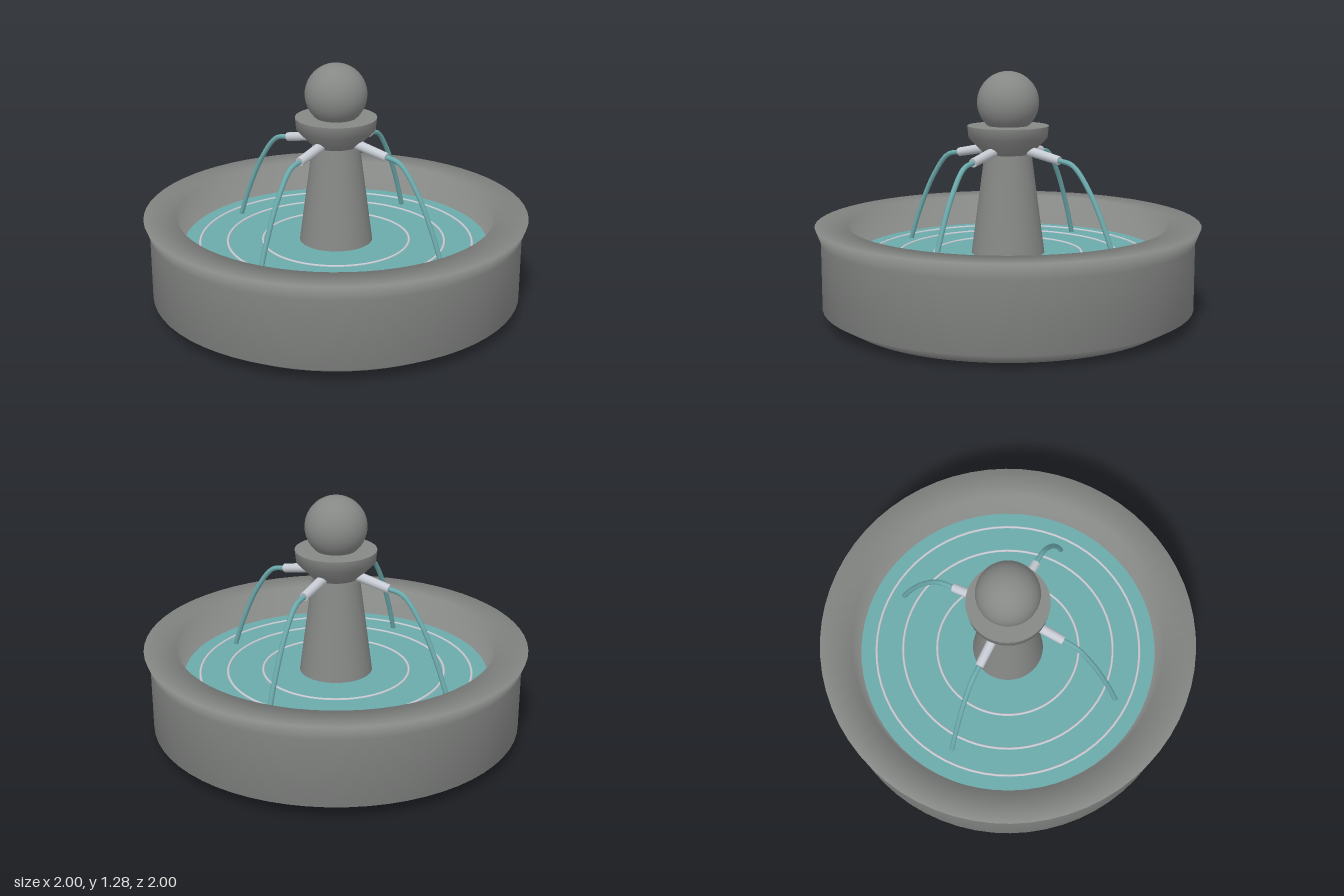
import * as THREE from 'three';

const stone = new THREE.MeshStandardMaterial({ name: 'stone', color: 0x868886 });
const water = new THREE.MeshStandardMaterial({ name: 'water', color: 0x6caaac });
const metal = new THREE.MeshStandardMaterial({ name: 'metal', color: 0xc6cad2 });

const WATER_Y = 0.34;

function add(parent, name, geometry, material) {
  const mesh = new THREE.Mesh(geometry, material);
  mesh.name = name;
  parent.add(mesh);
  return mesh;
}

function lathe(points, segments) {
  return new THREE.LatheGeometry(points.map(([r, y]) => new THREE.Vector2(r, y)), segments);
}

export function createModel() {
  const fountain = new THREE.Group();
  fountain.name = 'fountain';

  // Basin: outer wall, flared rim, inner wall and floor in one profile
  add(fountain, 'basin', lathe([
    [0, 0], [0.85, 0], [0.97, 0.07], [0.97, 0.42], [1, 0.5],
    [0.83, 0.5], [0.79, 0.3], [0, 0.3],
  ], 64), stone);

  // Water surface with ripple rings
  const surface = add(fountain, 'waterSurface', new THREE.CircleGeometry(0.8, 64), water);
  surface.rotation.x = -Math.PI / 2;
  surface.position.y = WATER_Y;
  for (const radius of [0.385, 0.57, 0.715]) {
    const ring = add(fountain, 'ripple', new THREE.TorusGeometry(radius, 0.007, 8, 64), metal);
    ring.rotation.x = -Math.PI / 2;
    ring.position.y = WATER_Y;
  }

  // Tapered pillar with a flared collar, and the ball on top
  add(fountain, 'pillar', lathe([[0.196, 0.3], [0.122, 0.86]], 40), stone);
  add(fountain, 'collar', lathe([[0.122, 0.86], [0.205, 0.945], [0.211, 1.005]], 40), stone);
  const top = add(fountain, 'collarTop', new THREE.CircleGeometry(0.211, 40), stone);
  top.rotation.x = -Math.PI / 2;
  top.position.y = 1.005;
  const ball = add(fountain, 'ball', new THREE.SphereGeometry(0.16, 40, 28), stone);
  ball.position.y = 1.125;

  // Four nozzles, each with an arching jet
  const inner = new THREE.Vector3(0.1, 0.887, 0);
  const outer = new THREE.Vector3(0.312, 0.845, 0);
  const axis = outer.clone().sub(inner);
  const nozzleGeometry = new THREE.CylinderGeometry(0.023, 0.026, axis.length(), 16);
  const jetCurve = new THREE.CatmullRomCurve3([
    [0.3, 0.847], [0.39, 0.825], [0.49, 0.7], [0.585, 0.505], [0.65, WATER_Y - 0.01],
  ].map(([x, y]) => new THREE.Vector3(x, y, 0)));
  const jetGeometry = new THREE.TubeGeometry(jetCurve, 32, 0.013, 10);
  for (let i = 0; i < 4; i++) {
    const spout = new THREE.Group();
    spout.name = 'spout';
    spout.rotation.y = i * Math.PI / 2;
    const nozzle = add(spout, 'nozzle', nozzleGeometry, metal);
    nozzle.position.copy(inner).lerp(outer, 0.5);
    nozzle.quaternion.setFromUnitVectors(new THREE.Vector3(0, 1, 0), axis.clone().normalize());
    add(spout, 'jet', jetGeometry, water);
    fountain.add(spout);
  }

  return fountain;
}
